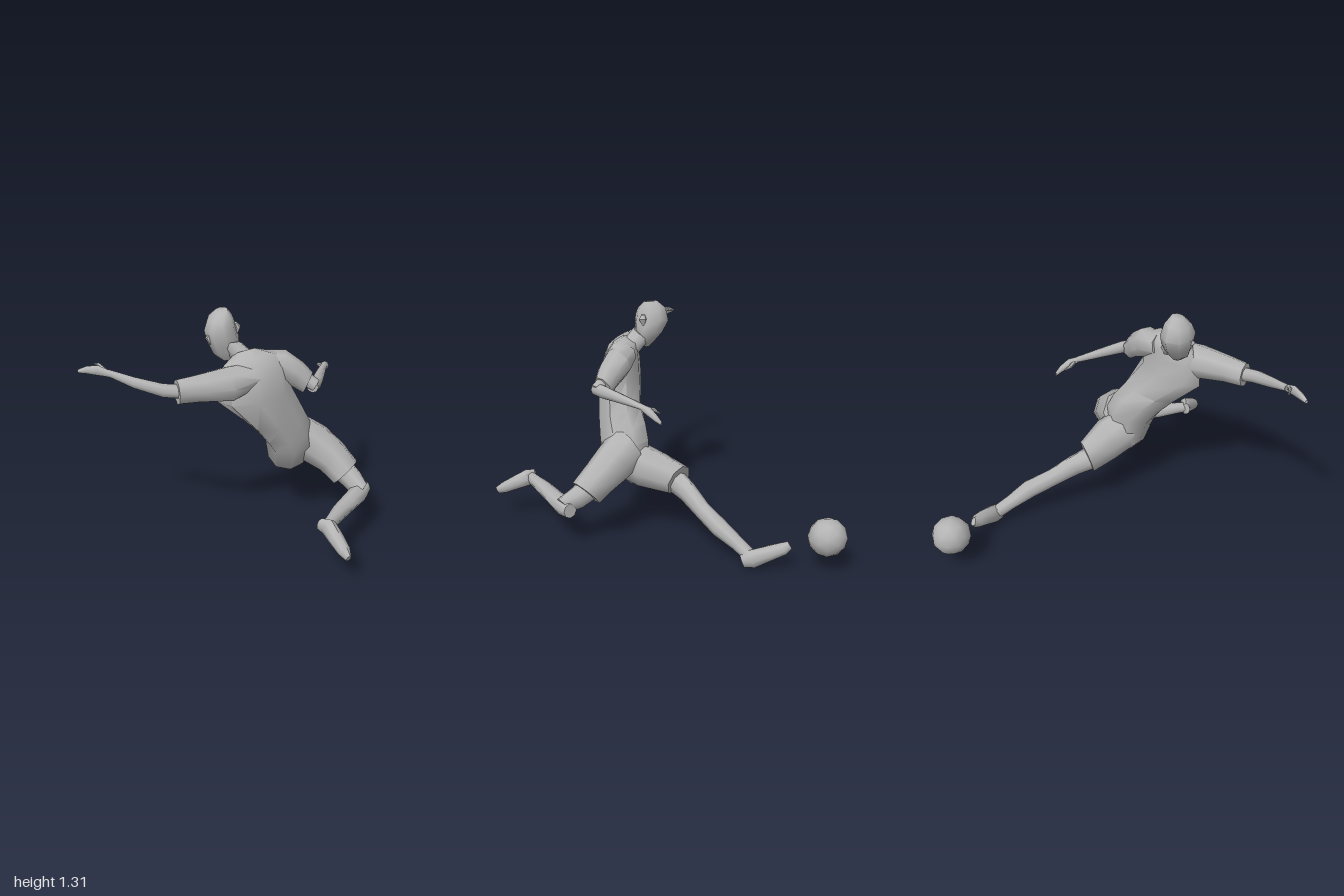
import * as THREE from 'three';
import { toCreasedNormals } from 'three/addons/utils/BufferGeometryUtils.js';

const grey = new THREE.MeshStandardMaterial({ color: 0xb4b4b4 });
grey.name = 'plain grey';

// Lofts rings [x, y, z, halfWidth, halfDepth] along a path; width follows `side`,
// which may turn gradually into `sideEnd`.
function loft(name, rings, side, sideEnd = side, n = 8, crease = 0.9) {
  const pts = rings.map(r => new THREE.Vector3(r[0], r[1], r[2]));
  const last = pts.length - 1;
  const pos = [], idx = [];
  rings.forEach((r, i) => {
    const t = pts[Math.min(i + 1, last)].clone().sub(pts[Math.max(i - 1, 0)]).normalize();
    const u = new THREE.Vector3(...side).lerp(new THREE.Vector3(...sideEnd), i / last).normalize();
    const v = t.cross(u).normalize();
    for (let j = 0; j < n; j++) {
      const a = j / n * Math.PI * 2;
      const p = pts[i].clone().addScaledVector(u, Math.cos(a) * r[3]).addScaledVector(v, Math.sin(a) * r[4]);
      pos.push(p.x, p.y, p.z);
    }
  });
  for (let i = 0; i < last; i++) {
    for (let j = 0; j < n; j++) {
      const a = i * n + j, b = i * n + (j + 1) % n;
      idx.push(a, b, b + n, a, b + n, a + n);
    }
  }
  // End caps
  const c0 = pos.length / 3;
  pos.push(...pts[0].toArray(), ...pts[last].toArray());
  for (let j = 0; j < n; j++) {
    const k = (j + 1) % n;
    idx.push(c0, k, j, c0 + 1, last * n + j, last * n + k);
  }
  const g = new THREE.BufferGeometry();
  g.setAttribute('position', new THREE.Float32BufferAttribute(pos, 3));
  g.setIndex(idx);
  const mesh = new THREE.Mesh(toCreasedNormals(g, crease), grey);
  mesh.name = name;
  return mesh;
}

function group(name, ...parts) {
  const g = new THREE.Group();
  g.name = name;
  g.add(...parts);
  return g;
}

export function createModel() {
  const model = group('footballPlayer');
  const up = [0, 1, 0];

  // Shirt body, leaning back from the planted foot
  model.add(loft('torso', [
    [0.05, 0.31, 0, 0.06, 0.05],
    [0.085, 0.39, 0.04, 0.115, 0.12],
    [0.115, 0.52, 0.065, 0.14, 0.155],
    [0.11, 0.6, 0.11, 0.155, 0.15],
    [0.1, 0.69, 0.18, 0.17, 0.13],
    [0.05, 0.86, 0.305, 0.21, 0.12],
    [0.04, 0.99, 0.3, 0.195, 0.105],
    [0.02, 1.055, 0.29, 0.16, 0.08],
    [-0.015, 1.095, 0.3, 0.065, 0.05],
  ], [0.75, 0.1, -0.65], [0.55, 0.14, -0.82]));

  // Head looking down toward the ball
  const headSide = [0.62, 0.12, -0.77];
  model.add(group('headGroup',
    loft('neck', [[0, 1.04, 0.29, 0.065, 0.06], [-0.1, 1.12, 0.325, 0.065, 0.06]], headSide),
    loft('head', [
      [-0.115, 1.035, 0.33, 0.03, 0.03],
      [-0.12, 1.08, 0.33, 0.075, 0.06],
      [-0.145, 1.15, 0.33, 0.09, 0.09],
      [-0.165, 1.21, 0.33, 0.09, 0.105],
      [-0.165, 1.27, 0.33, 0.07, 0.085],
      [-0.155, 1.31, 0.325, 0.035, 0.04],
    ], headSide, headSide, 8, 1),
    loft('earNear', [[-0.185, 1.19, 0.395, 0.01, 0.012], [-0.19, 1.165, 0.405, 0.016, 0.022],
      [-0.175, 1.13, 0.4, 0.008, 0.01]], headSide, headSide, 6),
    loft('earFar', [[-0.09, 1.24, 0.285, 0.01, 0.012], [-0.085, 1.215, 0.275, 0.018, 0.024],
      [-0.09, 1.175, 0.28, 0.008, 0.01]], headSide, headSide, 6),
  ));

  // Arm stretched out behind for balance
  model.add(group('stretchedArm',
    loft('stretchedSleeve', [
      [0.05, 0.98, 0.32, 0.07, 0.09],
      [-0.01, 0.955, 0.46, 0.1, 0.1],
      [-0.1, 0.96, 0.62, 0.078, 0.075],
      [-0.155, 0.958, 0.71, 0.072, 0.06],
    ], up),
    loft('stretchedForearm', [
      [-0.13, 0.955, 0.67, 0.042, 0.042],
      [-0.2, 0.975, 0.765, 0.04, 0.036],
      [-0.33, 1.015, 0.845, 0.033, 0.027],
      [-0.455, 1.06, 0.905, 0.02, 0.019],
    ], up),
    loft('stretchedHand', [
      [-0.44, 1.055, 0.9, 0.019, 0.018],
      [-0.5, 1.073, 0.935, 0.03, 0.017],
      [-0.555, 1.073, 0.965, 0.022, 0.016],
      [-0.595, 1.065, 0.988, 0.01, 0.01],
    ], up),
    loft('stretchedThumb', [[-0.47, 1.07, 0.91, 0.015, 0.012], [-0.52, 1.095, 0.91, 0.01, 0.009],
      [-0.56, 1.085, 0.9, 0.004, 0.004]], up, up, 6),
  ));

  // Arm swung across the body
  model.add(group('bentArm',
    loft('bentSleeve', [
      [0.05, 1.02, 0.24, 0.07, 0.08],
      [0.125, 1.0, 0.155, 0.09, 0.085],
      [0.2, 0.945, 0.105, 0.08, 0.07],
      [0.245, 0.895, 0.07, 0.068, 0.06],
    ], [0.5, 0.8, 0.2]),
    loft('bentUpperArm', [[0.22, 0.93, 0.09, 0.042, 0.042], [0.295, 0.885, 0.06, 0.036, 0.036]], [0.5, 0.8, 0.2]),
    loft('bentForearm', [
      [0.285, 0.885, 0.085, 0.037, 0.036],
      [0.265, 0.885, 0.01, 0.04, 0.032],
      [0.2, 0.875, -0.12, 0.028, 0.027],
      [0.13, 0.862, -0.26, 0.016, 0.019],
    ], up),
    loft('bentHand', [
      [0.135, 0.862, -0.25, 0.017, 0.018],
      [0.115, 0.85, -0.295, 0.026, 0.025],
      [0.09, 0.82, -0.345, 0.02, 0.017],
      [0.07, 0.797, -0.372, 0.012, 0.008],
    ], up),
    loft('bentThumb', [[0.115, 0.855, -0.27, 0.014, 0.014], [0.075, 0.85, -0.285, 0.011, 0.01],
      [0.055, 0.835, -0.315, 0.004, 0.004]], up, up, 6),
  ));

  // Planted leg reaching toward the ball
  const plantSide = [0.9, 0, -0.38];
  model.add(group('plantedLeg',
    loft('plantedShorts', [
      [0.1, 0.44, 0.05, 0.12, 0.13],
      [0, 0.395, -0.07, 0.125, 0.125],
      [-0.125, 0.35, -0.18, 0.09, 0.1],
    ], plantSide),
    loft('plantedShin', [
      [-0.11, 0.345, -0.14, 0.065, 0.075],
      [-0.15, 0.3, -0.26, 0.054, 0.064],
      [-0.185, 0.235, -0.38, 0.047, 0.054],
      [-0.23, 0.175, -0.52, 0.052, 0.054],
      [-0.29, 0.115, -0.63, 0.042, 0.04],
      [-0.325, 0.075, -0.7, 0.04, 0.038],
    ], plantSide),
    loft('plantedFoot', [
      [-0.285, 0.04, -0.695, 0.034, 0.04],
      [-0.33, 0.06, -0.725, 0.046, 0.057],
      [-0.42, 0.1, -0.765, 0.045, 0.045],
      [-0.49, 0.128, -0.795, 0.036, 0.038],
      [-0.52, 0.148, -0.805, 0.015, 0.025],
    ], [0.4, 0, -0.9]),
  ));

  // Kicking leg drawn back, knee bent
  model.add(group('kickingLeg',
    loft('kickingShorts', [
      [0.115, 0.53, 0.03, 0.13, 0.135],
      [0.22, 0.47, -0.035, 0.12, 0.125],
      [0.33, 0.395, -0.07, 0.107, 0.105],
      [0.415, 0.32, -0.08, 0.1, 0.095],
    ], [0.25, 0, 0.97]),
    loft('kickingThigh', [
      [0.38, 0.35, -0.075, 0.072, 0.07],
      [0.48, 0.285, -0.07, 0.064, 0.065],
      [0.545, 0.25, -0.055, 0.05, 0.055],
    ], [0.25, 0, 0.97]),
    loft('kickingShin', [
      [0.525, 0.24, -0.115, 0.04, 0.045],
      [0.535, 0.238, -0.04, 0.055, 0.055],
      [0.55, 0.238, 0.1, 0.053, 0.045],
      [0.57, 0.245, 0.23, 0.048, 0.042],
      [0.6, 0.255, 0.36, 0.034, 0.038],
      [0.61, 0.258, 0.42, 0.03, 0.035],
    ], [1, 0, -0.14]),
    loft('kickingFoot', [
      [0.575, 0.265, 0.415, 0.025, 0.038],
      [0.62, 0.258, 0.405, 0.04, 0.055],
      [0.69, 0.225, 0.435, 0.042, 0.045],
      [0.76, 0.19, 0.465, 0.036, 0.036],
      [0.8, 0.168, 0.483, 0.014, 0.024],
    ], [-0.4, 0.1, 0.9]),
  ));

  // Ball
  const ball = new THREE.Mesh(new THREE.IcosahedronGeometry(0.11, 1), grey);
  ball.name = 'ball';
  ball.position.set(-0.705, 0.2, -0.89);
  model.add(ball);

  return model;
}
